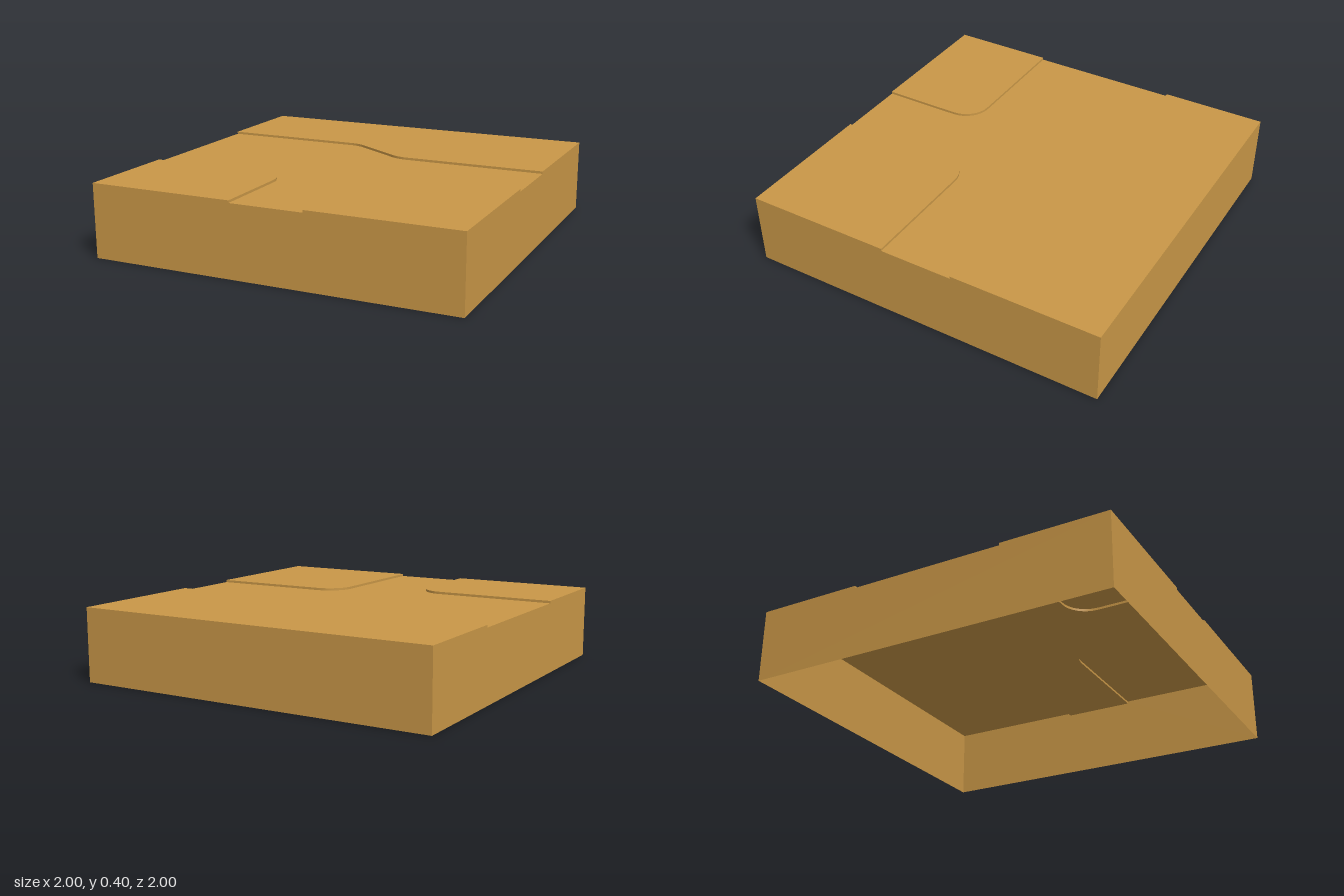
import * as THREE from 'three';
import { toCreasedNormals } from 'three/addons/utils/BufferGeometryUtils.js';

const TOP = 0.4, FLOOR = 0.387;
const material = new THREE.MeshStandardMaterial({ color: 0xc99747, side: THREE.DoubleSide });

function addMesh(parent, name, geometry) {
  const mesh = new THREE.Mesh(geometry, material);
  mesh.name = name;
  parent.add(mesh);
  return mesh;
}

// Polyline through [x, z] points; points with a radius get a rounded corner
function roundedEdge(points) {
  const path = new THREE.Path();
  points.forEach(([x, z, r], i) => {
    const p = new THREE.Vector2(x, z);
    if (i === 0) { path.moveTo(x, z); return; }
    if (!r) { path.lineTo(x, z); return; }
    const toward = ([px, pz]) => new THREE.Vector2(px, pz).sub(p).setLength(r).add(p);
    const a = toward(points[i - 1]), b = toward(points[i + 1]);
    const k = 0.552;
    const c = a.clone().lerp(p, k), d = b.clone().lerp(p, k);
    path.lineTo(a.x, a.y);
    path.bezierCurveTo(c.x, c.y, d.x, d.y, b.x, b.y);
  });
  return path.getPoints(8);
}

// Flat surface facing up, from an outline of (x, z) points
function flatSurface(points, y) {
  const shape = new THREE.Shape(points.map(p => new THREE.Vector2(p.x, -p.y)));
  return new THREE.ShapeGeometry(shape).rotateX(-Math.PI / 2).translate(0, y, 0);
}

// Low vertical step that follows an edge
function riser(points) {
  const positions = [];
  for (let i = 0; i + 1 < points.length; i++) {
    const a = points[i], b = points[i + 1];
    positions.push(
      a.x, FLOOR, a.y, b.x, FLOOR, b.y, b.x, TOP, b.y,
      a.x, FLOOR, a.y, b.x, TOP, b.y, a.x, TOP, a.y);
  }
  const geometry = new THREE.BufferGeometry();
  geometry.setAttribute('position', new THREE.Float32BufferAttribute(positions, 3));
  geometry.computeVertexNormals();
  return toCreasedNormals(geometry, Math.PI / 5);
}

// Side wall, notched where a channel runs out through it
function wall(halfNotch) {
  const outline = [[-1, 0], [1, 0], [1, TOP]];
  if (halfNotch) {
    outline.push([halfNotch, TOP], [halfNotch, FLOOR], [-halfNotch, FLOOR], [-halfNotch, TOP]);
  }
  outline.push([-1, TOP]);
  const shape = new THREE.Shape(outline.map(p => new THREE.Vector2(...p)));
  return new THREE.ShapeGeometry(shape).translate(0, 0, 1);
}

export function createModel() {
  const model = new THREE.Group();
  model.name = 'channelTile';
  const v = (x, z) => new THREE.Vector2(x, z);

  // Edges of the channel, in order around its outline
  const back = roundedEdge([[1, -0.2], [0.17, -0.2, 0.05], [-0.17, -0.42, 0.05], [-1, -0.42]]);
  const left = roundedEdge([[-1, 0.42], [-0.2, 0.42, 0.14], [-0.2, 1]]);
  const right = roundedEdge([[0.2, 1], [0.2, 0.2, 0.14], [1, 0.2]]);

  // Raised plates and their steps
  const plates = [
    ['backPlate', back, [v(-1, -1), v(1, -1)]],
    ['frontRightPlate', left, [v(-1, 1)]],
    ['frontLeftPlate', right, [v(1, 1)]],
  ];
  for (const [name, edge, corners] of plates) {
    addMesh(model, name, flatSurface([...edge, ...corners], TOP));
    addMesh(model, name + 'Step', riser(edge));
  }

  // Sunken channel floor
  addMesh(model, 'channelFloor', flatSurface([...back, ...left, ...right], FLOOR));

  // Four walls, open underneath
  const walls = [['frontWall', 0.2], ['leftWall', 0.2], ['backWall', 0], ['rightWall', 0.42]];
  walls.forEach(([name, halfNotch], i) => {
    addMesh(model, name, wall(halfNotch)).rotation.y = i * Math.PI / 2;
  });

  return model;
}
